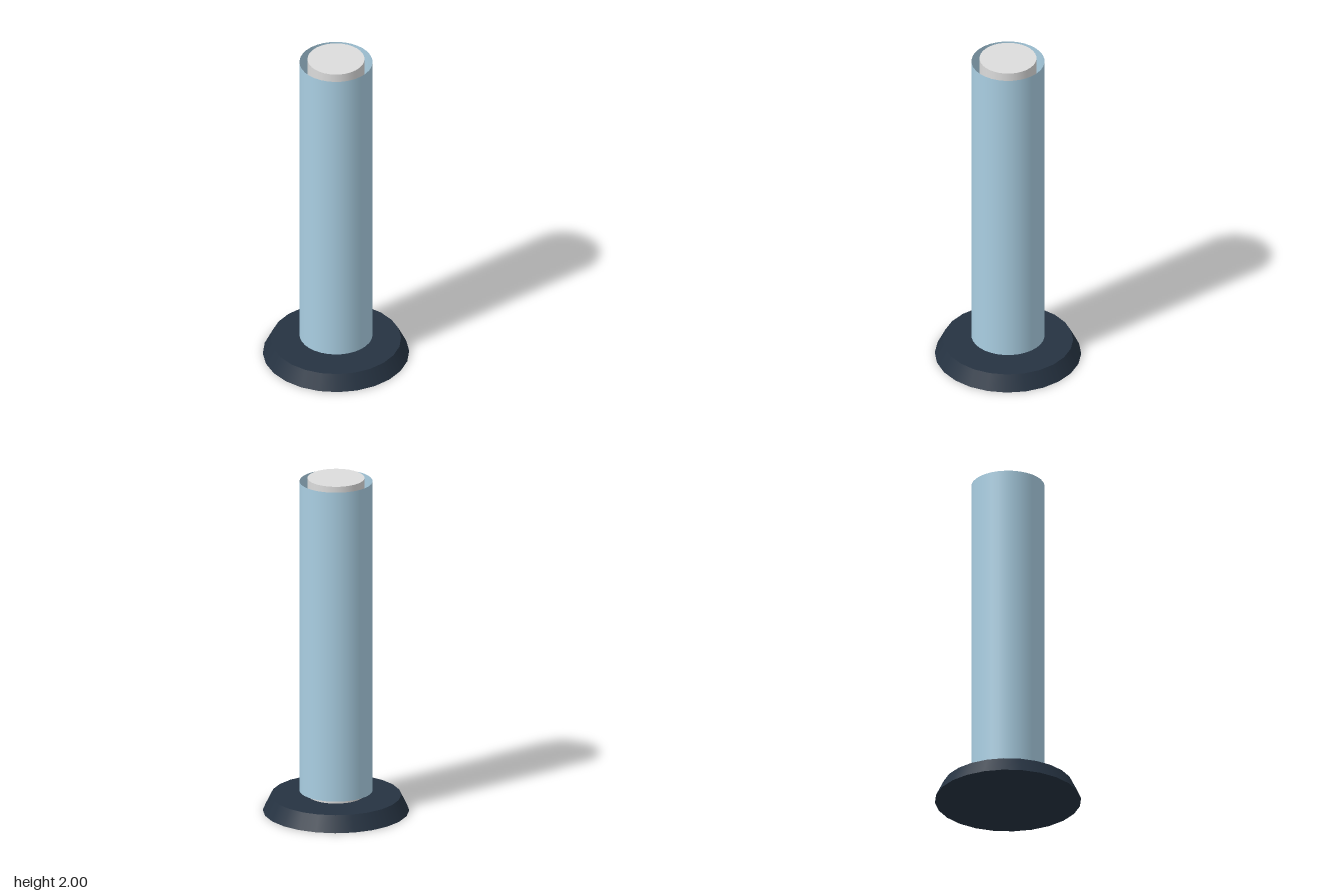
import * as THREE from 'three';

const darkSlate = new THREE.MeshStandardMaterial({ name: 'darkSlate', color: 0x263342 });
const paleGrey = new THREE.MeshStandardMaterial({ name: 'paleGrey', color: 0xdcdcdc });
const paleBlue = new THREE.MeshStandardMaterial({ name: 'paleBlue', color: 0xaacfe3, side: THREE.DoubleSide });

// Upright cylinder between two heights
function column(name, material, rTop, rBottom, y0, y1, sides, open = false) {
  const geometry = new THREE.CylinderGeometry(rTop, rBottom, y1 - y0, sides, 1, open);
  const mesh = new THREE.Mesh(geometry, material);
  mesh.name = name;
  mesh.position.y = (y0 + y1) / 2;
  return mesh;
}

export function createModel() {
  const model = new THREE.Group();
  model.name = 'column';
  // Tapered foot
  model.add(column('base', darkSlate, 0.372, 0.418, 0, 0.093, 24));
  // Solid core standing on the foot
  model.add(column('core', paleGrey, 0.163, 0.163, 0.093, 2, 32));
  // Open sleeve around the core, clear of the foot
  model.add(column('sleeve', paleBlue, 0.209, 0.209, 0.12, 1.98, 32, true));
  return model;
}
